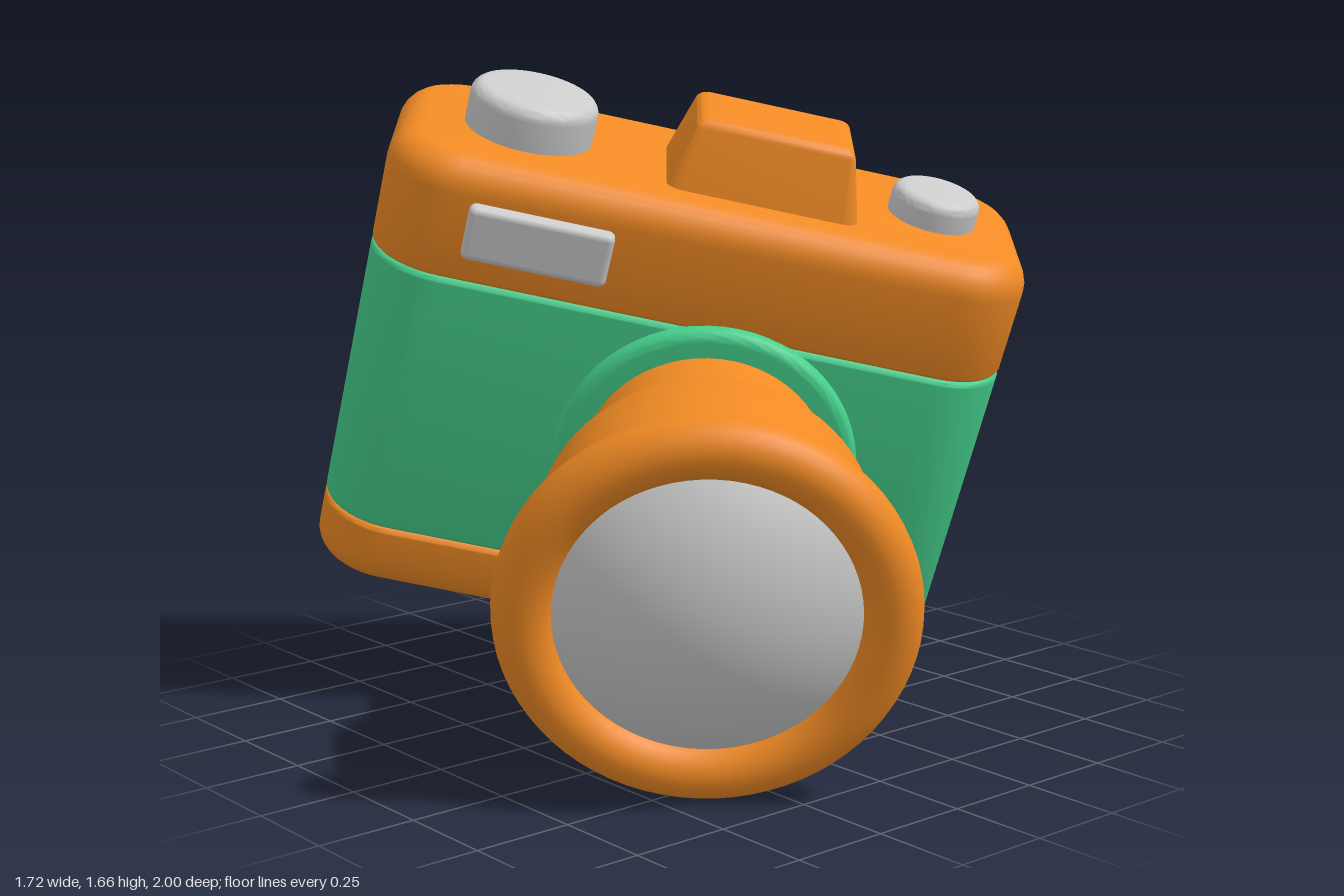
import * as THREE from 'three';
import { toCreasedNormals } from 'three/addons/utils/BufferGeometryUtils.js';
import { RoundedBoxGeometry } from 'three/addons/geometries/RoundedBoxGeometry.js';

const orange = new THREE.MeshStandardMaterial({ color: 0xf08a24 });
const green = new THREE.MeshStandardMaterial({ color: 0x45cf8c });
const grey = new THREE.MeshStandardMaterial({ color: 0xcccccc });

// Rounded-rectangle block: vertical corners of radius r, filleted bottom and top edges, optional taper
function block({ w, d, h, r, bottom, top, taper = 0 }) {
  const steps = 6, cornerSteps = 10, rows = [];
  for (let k = 0; k <= steps; k++) {
    const t = (k / steps) * Math.PI / 2;
    rows.push([bottom * (1 - Math.cos(t)), bottom * (1 - Math.sin(t))]);
  }
  for (let k = 0; k <= steps; k++) {
    const t = (k / steps) * Math.PI / 2;
    rows.push([h - top * (1 - Math.sin(t)), top * (1 - Math.cos(t))]);
  }
  const pos = [], index = [];
  for (const [y, edge] of rows) {
    const inset = edge + taper * y / h;
    const rad = Math.max(r - inset, 0.012);
    const cx = w / 2 - inset - rad, cz = d / 2 - inset - rad;
    for (let q = 0; q < 4; q++) {
      const sx = q === 0 || q === 3 ? 1 : -1, sz = q < 2 ? -1 : 1;
      for (let k = 0; k <= cornerSteps; k++) {
        const t = (q + k / cornerSteps) * Math.PI / 2;
        pos.push(sx * cx + rad * Math.cos(t), y, sz * cz - rad * Math.sin(t));
      }
    }
  }
  const n = 4 * (cornerSteps + 1), last = (rows.length - 1) * n, c = rows.length * n;
  pos.push(0, 0, 0, 0, h, 0);
  for (let j = 0; j < n; j++) {
    const j1 = (j + 1) % n;
    for (let i = 0; i < rows.length - 1; i++) {
      const a = i * n + j, b = i * n + j1;
      index.push(a, b, b + n, a, b + n, a + n);
    }
    index.push(c, j1, j, c + 1, last + j, last + j1);
  }
  const g = new THREE.BufferGeometry();
  g.setAttribute('position', new THREE.Float32BufferAttribute(pos, 3));
  g.setIndex(index);
  return toCreasedNormals(g, 0.6);
}

// Lathe from [radius, height] pairs
function lathe(points) {
  const g = new THREE.LatheGeometry(points.map(([x, y]) => new THREE.Vector2(x, y)), 64);
  return toCreasedNormals(g, 0.6);
}

// Closed disc with a rounded front edge
function disc(radius, h, edge) {
  const pts = [[0, 0], [radius, 0]];
  for (let k = 0; k <= 6; k++) {
    const t = (k / 6) * Math.PI / 2;
    pts.push([radius - edge * (1 - Math.cos(t)), h - edge * (1 - Math.sin(t))]);
  }
  pts.push([0, h]);
  return lathe(pts);
}

export function createModel() {
  const model = new THREE.Group();
  model.name = 'camera';
  const add = (parent, name, geometry, material, x = 0, y = 0, z = 0) => {
    const m = new THREE.Mesh(geometry, material);
    m.name = name;
    m.position.set(x, y, z);
    parent.add(m);
    return m;
  };

  // Three-layer body
  const size = { w: 1.632, d: 0.637, r: 0.185 };
  add(model, 'basePlate', block({ ...size, h: 0.172, bottom: 0.07, top: 0.015 }), orange);
  add(model, 'bodyWrap', block({ ...size, h: 0.722, bottom: 0.015, top: 0.015 }), green, 0, 0.172);
  add(model, 'topCover', block({ ...size, h: 0.309, bottom: 0.015, top: 0.085 }), orange, 0, 0.894);

  // Parts on the top cover
  add(model, 'viewfinderHump',
    block({ w: 0.5, d: 0.345, h: 0.2, r: 0.045, bottom: 0, top: 0.025, taper: 0.055 }),
    orange, 0.115, 1.181, 0.03);
  add(model, 'largeDial', disc(0.163, 0.13, 0.035), grey, -0.485, 1.183, 0);
  add(model, 'shutterButton', disc(0.114, 0.095, 0.03), grey, 0.565, 1.183, 0);

  // Window on the front
  add(model, 'frontWindow', new RoundedBoxGeometry(0.36, 0.14, 0.08, 4, 0.018), grey, -0.41, 1.036, 0.315);

  // Lens, built along y and turned to face forward
  const lens = new THREE.Group();
  lens.name = 'lens';
  lens.position.set(0.12, 0.537, 0);
  lens.rotation.x = Math.PI / 2;
  model.add(lens);
  add(lens, 'mountRing', disc(0.386, 0.07, 0.03), green, 0, 0.29);

  const flare = new THREE.SplineCurve([[0.322, 0.48], [0.34, 0.545], [0.385, 0.62], [0.408, 0.68]]
    .map(([x, y]) => new THREE.Vector2(x, y)));
  add(lens, 'barrel', lathe([[0.315, 0.3], [0.318, 0.42],
    ...flare.getPoints(14).map(p => [p.x, p.y]), [0.412, 0.8], [0.412, 1.06], [0.3, 1.06]]), orange);

  const rim = add(lens, 'frontRim', new THREE.TorusGeometry(0.42, 0.071, 24, 72), orange, 0, 1.053);
  rim.rotation.x = Math.PI / 2;

  // Domed glass as a shallow spherical cap
  const capR = 0.365, capH = 0.135;
  const sphereR = (capR * capR + capH * capH) / (2 * capH);
  add(lens, 'glass',
    new THREE.SphereGeometry(sphereR, 64, 16, 0, Math.PI * 2, 0, Math.asin(capR / sphereR)),
    grey, 0, 1.2 - sphereR);

  // Tilted pose, resting on the lens rim
  model.rotation.set(THREE.MathUtils.degToRad(20), THREE.MathUtils.degToRad(-38.6), 0);
  model.position.set(0.102, 0.286, -0.378);

  const root = new THREE.Group();
  root.name = 'cameraModel';
  root.add(model);
  return root;
}
